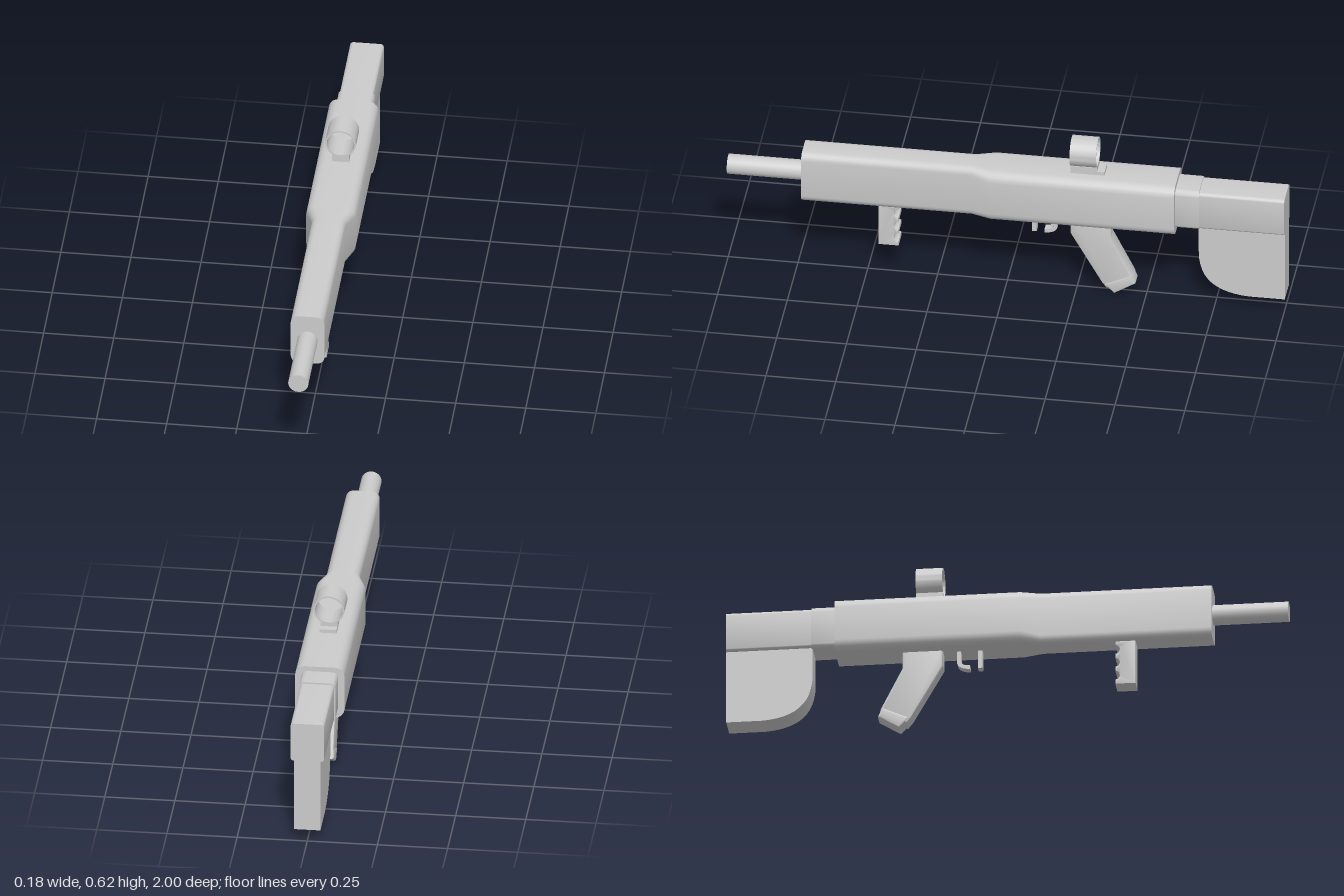
import * as THREE from 'three';
import { toCreasedNormals } from 'three/addons/utils/BufferGeometryUtils.js';

const material = new THREE.MeshStandardMaterial({ color: 0xcccccc });

export function createModel() {
  const model = new THREE.Group();

  const add = (name, geometry) => {
    const mesh = new THREE.Mesh(geometry, material);
    mesh.name = name;
    model.add(mesh);
    return mesh;
  };

  // Rounded-rectangle sections [z, halfWidth, y0, y1, radius], listed back to front
  const loft = (sections, steps = 5) => {
    const positions = [], index = [], n = 4 * (steps + 1);
    for (const [z, w, y0, y1, r] of sections) {
      const corners = [[w - r, y1 - r], [r - w, y1 - r], [r - w, y0 + r], [w - r, y0 + r]];
      corners.forEach(([cx, cy], k) => {
        for (let i = 0; i <= steps; i++) {
          const a = (k + i / steps) * Math.PI / 2;
          positions.push(cx + r * Math.cos(a), cy + r * Math.sin(a), z);
        }
      });
    }
    const last = (sections.length - 1) * n;
    for (let s = 0; s < last; s += n) {
      for (let i = 0; i < n; i++) {
        const a = s + i, b = s + (i + 1) % n;
        index.push(a, b, b + n, a, b + n, a + n);
      }
    }
    for (let i = 1; i < n - 1; i++) {
      index.push(0, i + 1, i, last, last + i, last + i + 1);
    }
    const geometry = new THREE.BufferGeometry();
    geometry.setAttribute('position', new THREE.Float32BufferAttribute(positions, 3));
    geometry.setIndex(index);
    return toCreasedNormals(geometry, 0.5);
  };

  // Side profile in (z, y), extruded across x and centred
  const slab = (shape, halfWidth, bevel = 0) => {
    const geometry = new THREE.ExtrudeGeometry(shape, {
      depth: 2 * (halfWidth - bevel), curveSegments: 12,
      bevelEnabled: bevel > 0, bevelSize: bevel, bevelThickness: bevel,
      bevelOffset: -bevel, bevelSegments: 2,
    });
    geometry.translate(0, 0, bevel - halfWidth).rotateY(-Math.PI / 2);
    return toCreasedNormals(geometry, 0.5);
  };
  const polygon = (points) => new THREE.Shape(points.map(([z, y]) => new THREE.Vector2(z, y)));

  // Main housing, wide at the back and narrowing ahead of the middle
  add('body', loft([
    [-0.61, 0.088, 0.295, 0.495, 0.036],
    [0.05, 0.088, 0.295, 0.495, 0.036],
    [0.12, 0.06, 0.295, 0.495, 0.028],
    [0.73, 0.06, 0.295, 0.495, 0.028],
  ]));

  // Barrel
  add('barrel', new THREE.CylinderGeometry(0.036, 0.036, 0.3, 32).rotateX(Math.PI / 2))
    .position.set(0, 0.395, 0.85);

  // Stock: collar, upper beam and lower plate
  add('stockCollar', loft([
    [-0.695, 0.065, 0.318, 0.476, 0.02],
    [-0.6, 0.065, 0.318, 0.476, 0.02],
  ]));
  add('stockBeam', loft([
    [-1, 0.06, 0.322, 0.47, 0.012],
    [-0.68, 0.06, 0.322, 0.47, 0.012],
  ]));
  const plate = new THREE.Shape();
  plate.moveTo(-1, 0.34);
  plate.lineTo(-1, 0.048);
  plate.lineTo(-0.87, 0.048);
  plate.bezierCurveTo(-0.76, 0.055, -0.692, 0.1, -0.692, 0.22);
  plate.lineTo(-0.692, 0.34);
  plate.closePath();
  add('stockPlate', slab(plate, 0.047));

  // Slanted rear grip with a base cap
  add('rearGrip', slab(polygon([
    [-0.23, 0.31], [-0.375, 0.31], [-0.375, 0.235], [-0.455, 0.075],
    [-0.36, 0.02], [-0.342, 0.042], [-0.23, 0.238],
  ]), 0.031, 0.008));
  add('rearGripBase', slab(polygon([
    [-0.447, 0.085], [-0.462, 0.05], [-0.386, 0.003], [-0.35, 0.04],
  ]), 0.033, 0.007));

  // Front grip with finger grooves along its back edge
  const gripShape = new THREE.Shape();
  gripShape.moveTo(0.457, 0.3);
  gripShape.lineTo(0.457, 0.13);
  gripShape.lineTo(0.385, 0.13);
  for (const y of [0.165, 0.215, 0.265]) {
    gripShape.lineTo(0.385, y - 0.016);
    gripShape.bezierCurveTo(0.405, y - 0.013, 0.405, y + 0.013, 0.385, y + 0.016);
  }
  gripShape.lineTo(0.385, 0.3);
  gripShape.closePath();
  add('frontGrip', slab(gripShape, 0.035, 0.004));

  // Trigger and the short tab ahead of it
  add('triggerTab', slab(polygon([
    [-0.09, 0.31], [-0.107, 0.31], [-0.107, 0.228], [-0.09, 0.228],
  ]), 0.015));
  const hook = new THREE.Shape();
  hook.moveTo(-0.182, 0.31);
  hook.lineTo(-0.182, 0.255);
  hook.quadraticCurveTo(-0.178, 0.226, -0.135, 0.226);
  hook.lineTo(-0.135, 0.24);
  hook.quadraticCurveTo(-0.167, 0.24, -0.167, 0.26);
  hook.lineTo(-0.167, 0.31);
  hook.closePath();
  add('trigger', slab(hook, 0.015));

  // Ring sight on a stepped mount
  const ring = new THREE.Shape().absarc(0, 0, 0.055, 0, Math.PI * 2);
  ring.holes.push(new THREE.Path().absarc(0, 0, 0.049, 0, Math.PI * 2, true));
  const ringGeometry = new THREE.ExtrudeGeometry(ring, {
    depth: 0.095, bevelEnabled: false, curveSegments: 24,
  });
  add('sightRing', toCreasedNormals(ringGeometry, 0.5)).position.set(0, 0.572, -0.325);
  add('sightMount', slab(polygon([
    [-0.23, 0.485], [-0.23, 0.524], [-0.325, 0.524], [-0.325, 0.508],
    [-0.352, 0.508], [-0.352, 0.485],
  ]), 0.03));

  return model;
}
